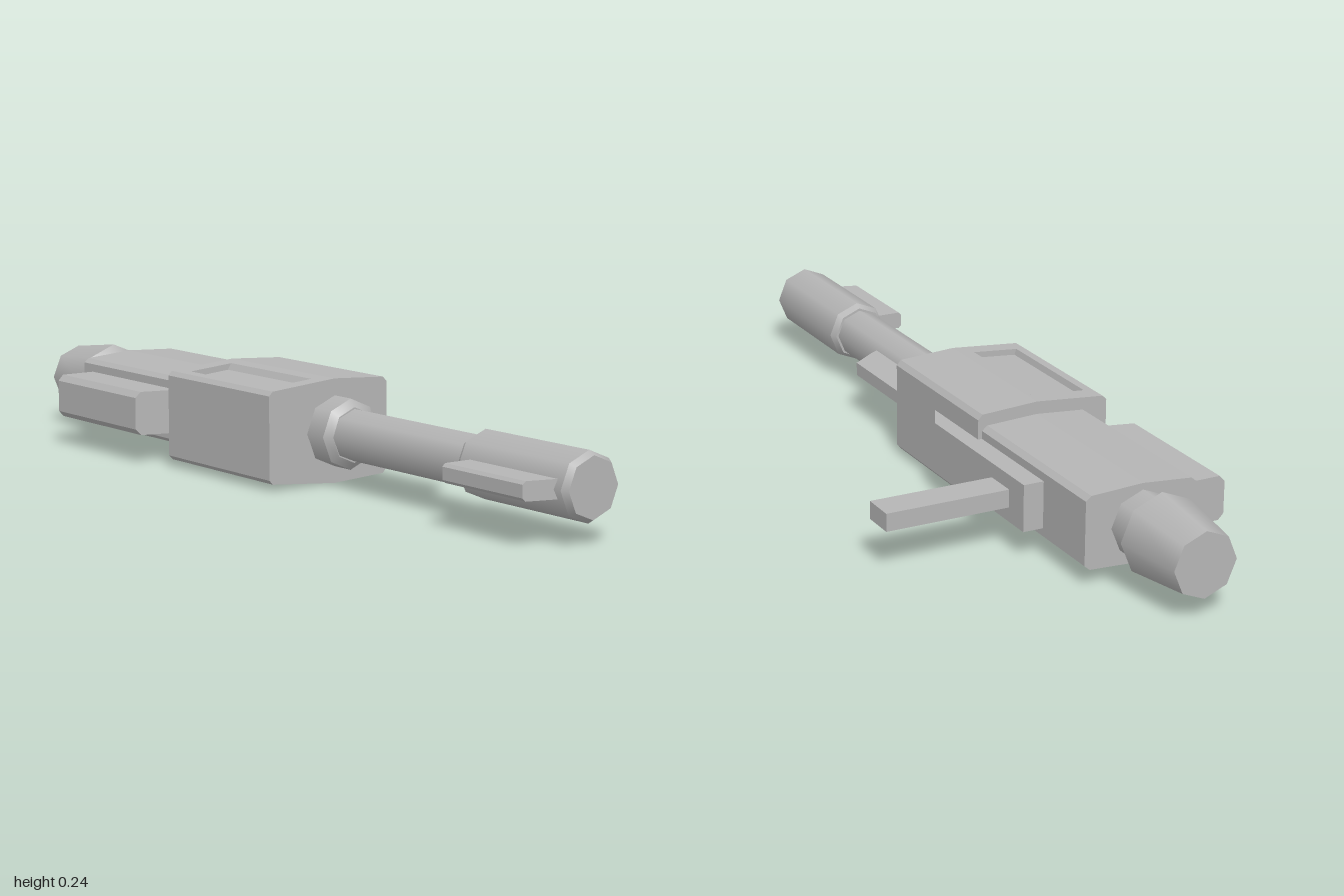
import * as THREE from 'three';

const AXIS_Y = 0.122, AXIS_Z = 0.127;

export function createModel() {
  const group = new THREE.Group();
  const metal = new THREE.MeshStandardMaterial({ color: 0xb5b5b5 });
  metal.name = 'grey metal';

  const add = (name, geometry) => {
    const mesh = new THREE.Mesh(geometry, metal);
    mesh.name = name;
    group.add(mesh);
    return mesh;
  };

  // Prism along x from a [z, y] outline; the far end runs from x1 at zBase to xTip at zTip
  const prism = (name, outline, x0, x1, zBase = 0, xTip = x1, zTip = 1) => {
    const shape = new THREE.Shape(outline.map(([z, y]) => new THREE.Vector2(-z, y)));
    const g = new THREE.ExtrudeGeometry(shape, { depth: 1, bevelEnabled: false });
    g.rotateY(Math.PI / 2);
    const p = g.attributes.position;
    for (let i = 0; i < p.count; i++) {
      const end = x1 + (xTip - x1) * (p.getZ(i) - zBase) / (zTip - zBase);
      p.setX(i, p.getX(i) > 0.5 ? end : x0);
    }
    g.computeVertexNormals();
    return add(name, g);
  };

  // Mirrors the upper half of an outline about the axis height
  const mirrored = (top) => [...top, ...top.map(([z, y]) => [z, 2 * AXIS_Y - y]).reverse()];

  // Eight-sided turned part along x, from [x, radius] stations
  const turned = (name, stations, zScale = 1) => {
    const part = new THREE.Group();
    part.name = name;
    for (let i = 0; i < stations.length - 1; i++) {
      const [xa, ra] = stations[i], [xb, rb] = stations[i + 1];
      const g = new THREE.CylinderGeometry(rb, ra, xb - xa, 8);
      g.rotateZ(-Math.PI / 2);
      g.scale(1, 1, zScale);
      g.translate((xa + xb) / 2, AXIS_Y, AXIS_Z);
      const mesh = new THREE.Mesh(g, metal);
      mesh.name = name + 'Section' + (i + 1);
      part.add(mesh);
    }
    group.add(part);
  };

  // Turned parts
  turned('rearCone', [[-1, 0.076], [-0.825, 0.098], [-0.8, 0.076], [-0.74, 0.076]]);
  turned('barrelCollar', [[0.12, 0.082], [0.185, 0.082], [0.2, 0.064]], 0.95);
  turned('barrel', [[0.12, 0.06], [0.66, 0.06]]);
  turned('muzzle', [[0.645, 0.066], [0.66, 0.076], [0.985, 0.076], [1, 0.067]]);

  // Receiver block: solid ends, with a recess in top and bottom between them
  const solid = mirrored([[0.31, 0.218], [0.3, 0.228], [AXIS_Z, 0.243], [-0.012, 0.235], [-0.023, 0.223]]);
  const notched = mirrored([
    [0.31, 0.218], [0.3, 0.228], [0.277, 0.23], [0.272, 0.216], [0.172, 0.225], [0.162, 0.24],
    [AXIS_Z, 0.243], [-0.012, 0.235], [-0.023, 0.223],
  ]);
  prism('receiverRear', solid, -0.287, -0.24);
  prism('receiverMiddle', notched, -0.24, 0.082);
  prism('receiverFront', solid, 0.082, 0.125);

  // Slimmer rear body
  prism('rearBody', mirrored([[0.26, 0.193], [0.248, 0.203], [AXIS_Z, 0.213], [0, 0.207], [-0.013, 0.196]]),
    -0.75, -0.28);

  // Chamfered side housing on the front
  prism('sideHousing', mirrored([[0.36, 0.16], [0.347, 0.174], [0.25, 0.174]]),
    -0.71, -0.33, 0.26, -0.355, 0.36);

  // Mounting plate and handle on the back
  prism('backPlate', mirrored([[0, 0.177], [-0.062, 0.177]]), -0.57, -0.075, -0.023, -0.15, -0.062);
  prism('backHandle', mirrored([[-0.05, 0.143], [-0.36, 0.143]]), -0.505, -0.425);

  // Fins along the barrel and muzzle
  prism('barrelFin', mirrored([[0.085, 0.146], [0.055, 0.145], [0.002, 0.138]]), 0.1, 0.44, 0.075, 0.4, 0.002);
  prism('muzzleFin', mirrored([[0.269, 0.136], [0.262, 0.143], [0.17, 0.143]]), 0.69, 0.965, 0.2, 0.945, 0.269);

  return group;
}
